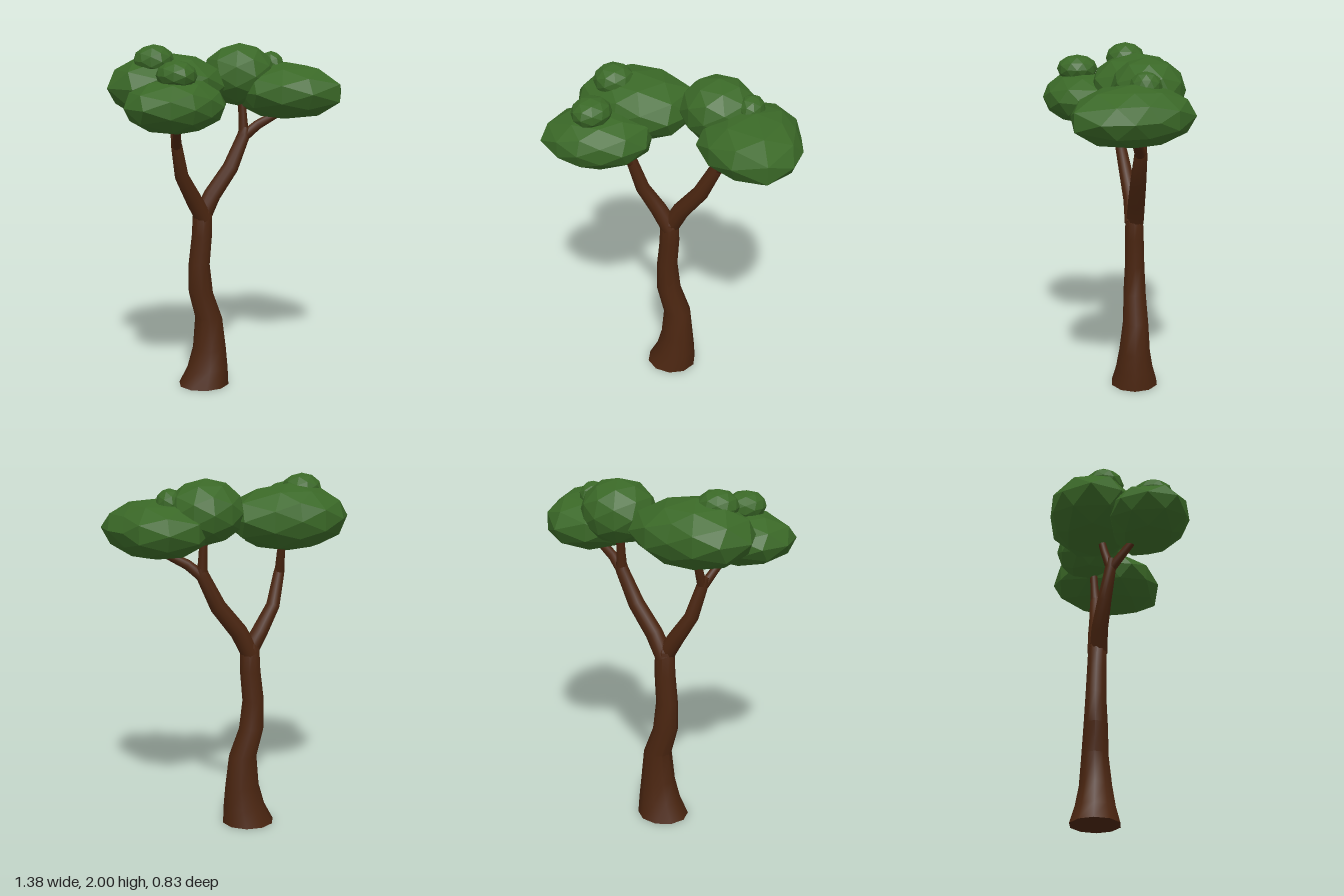
import * as THREE from 'three';
import { toCreasedNormals } from 'three/addons/utils/BufferGeometryUtils.js';

const SIDES = 10;

// Closed limb through [x, y, z, radius] points, each ring square to the path
function limb(points, upright = false) {
  const centres = points.map(p => new THREE.Vector3(p[0], p[1], p[2]));
  const up = new THREE.Vector3(0, 1, 0);
  const last = points.length - 1;
  const pos = [], index = [];
  points.forEach((p, i) => {
    const tangent = centres[Math.min(i + 1, last)].clone().sub(centres[Math.max(i - 1, 0)]).normalize();
    const turn = new THREE.Quaternion().setFromUnitVectors(up, upright ? up : tangent);
    for (let j = 0; j < SIDES; j++) {
      const a = (j / SIDES) * Math.PI * 2;
      const v = new THREE.Vector3(Math.cos(a) * p[3], 0, Math.sin(a) * p[3] * (upright ? 0.94 : 1));
      pos.push(...v.applyQuaternion(turn).add(centres[i]).toArray());
    }
  });
  const bottom = pos.length / 3, top = bottom + 1;
  pos.push(...centres[0].toArray(), ...centres[last].toArray());
  for (let j = 0; j < SIDES; j++) {
    const k = (j + 1) % SIDES;
    for (let i = 0; i < last; i++) {
      const a = i * SIDES + j, b = i * SIDES + k;
      index.push(a, a + SIDES, b, b, a + SIDES, b + SIDES);
    }
    index.push(bottom, j, k, top, last * SIDES + k, last * SIDES + j);
  }
  const geo = new THREE.BufferGeometry();
  geo.setAttribute('position', new THREE.Float32BufferAttribute(pos, 3));
  geo.setIndex(index);
  return toCreasedNormals(geo, 0.7);
}

// Faceted foliage: a low-poly ball stretched to a plan outline of [x, z] points
function foliage(centre, height, outline) {
  const [cx, cy, cz] = centre;
  const polar = outline
    .map(([x, z]) => ({ a: Math.atan2(z - cz, x - cx), r: Math.hypot(x - cx, z - cz) }))
    .sort((p, q) => p.a - q.a);
  const n = polar.length;
  const reach = angle => {
    let i = polar.findIndex(p => p.a > angle);
    if (i < 0) i = 0;
    const p = polar[(i + n - 1) % n], q = polar[i], full = Math.PI * 2;
    const span = (q.a - p.a + full) % full;
    const t = ((angle - p.a + full) % full) / span;
    return p.r + (q.r - p.r) * t;
  };
  const geo = new THREE.IcosahedronGeometry(1, 1);
  const pos = geo.attributes.position;
  for (let i = 0; i < pos.count; i++) {
    const x = pos.getX(i), y = pos.getY(i), z = pos.getZ(i);
    const r = reach(Math.atan2(z, x)) * 1.03;
    pos.setXYZ(i, cx + x * r, cy + y * height, cz + z * r);
  }
  geo.computeVertexNormals();
  return geo;
}

// Round plan outline for the smaller tufts
const oval = (x, z, rx, rz) => Array.from({ length: 12 }, (_, i) => {
  const a = (i / 12) * Math.PI * 2;
  return [x + Math.cos(a) * rx, z + Math.sin(a) * rz];
});

export function createModel() {
  const bark = new THREE.MeshStandardMaterial({ color: 0x4a2510 });
  bark.name = 'bark';
  const leaf = new THREE.MeshStandardMaterial({ color: 0x3a6827 });
  leaf.name = 'leaf';
  const tree = new THREE.Group();
  tree.name = 'tree';
  const add = (name, geo, mat) => {
    const mesh = new THREE.Mesh(geo, mat);
    mesh.name = name;
    tree.add(mesh);
  };

  // Trunk with flared foot
  add('trunk', limb([
    [-0.10, 0, -0.11, 0.15], [-0.075, 0.1, -0.11, 0.122], [-0.063, 0.22, -0.11, 0.1],
    [-0.065, 0.4, -0.115, 0.082], [-0.117, 0.56, -0.11, 0.073], [-0.127, 0.73, -0.11, 0.063],
    [-0.11, 0.9, -0.107, 0.06], [-0.107, 1.04, -0.105, 0.056], [-0.107, 1.09, -0.105, 0.03],
  ], true), bark);

  // Main branches and their forks
  add('rightBranch', limb([
    [-0.1, 1.0, -0.1, 0.052], [-0.17, 1.12, -0.09, 0.048], [-0.255, 1.26, -0.06, 0.04],
    [-0.3, 1.44, -0.025, 0.032], [-0.31, 1.49, -0.02, 0.024],
  ]), bark);
  add('rightFrontTwig', limb([
    [-0.3, 1.43, -0.025, 0.027], [-0.335, 1.53, 0.06, 0.023], [-0.37, 1.62, 0.14, 0.018],
  ]), bark);
  add('rightBackTwig', limb([
    [-0.302, 1.43, -0.025, 0.027], [-0.3, 1.54, -0.06, 0.023], [-0.3, 1.66, -0.09, 0.02],
  ]), bark);
  add('leftBranch', limb([
    [-0.11, 1.0, -0.11, 0.052], [-0.04, 1.13, -0.115, 0.05], [0.08, 1.28, -0.12, 0.046],
    [0.17, 1.46, -0.13, 0.037], [0.178, 1.51, -0.13, 0.028],
  ]), bark);
  add('leftUpperTwig', limb([
    [0.172, 1.45, -0.13, 0.032], [0.17, 1.57, -0.14, 0.025], [0.165, 1.7, -0.15, 0.023],
  ]), bark);
  add('leftOuterTwig', limb([
    [0.165, 1.45, -0.13, 0.032], [0.25, 1.52, -0.11, 0.028], [0.42, 1.61, -0.08, 0.022],
  ]), bark);

  // Large leaf crowns
  add('rightFrontCrown', foliage([-0.39, 1.685, 0.19], 0.15, [
    [-0.68, 0.15], [-0.65, 0.34], [-0.5, 0.41], [-0.32, 0.39], [-0.14, 0.26],
    [-0.10, 0.09], [-0.2, 0], [-0.4, -0.03], [-0.6, 0.02],
  ]), leaf);
  add('rightBackCrown', foliage([-0.32, 1.765, -0.12], 0.185, [
    [-0.66, -0.14], [-0.55, -0.3], [-0.33, -0.36], [-0.12, -0.35], [0, -0.28],
    [0.02, -0.15], [-0.01, -0.02], [-0.07, 0.07], [-0.2, 0.13], [-0.4, 0.1], [-0.59, 0.03],
  ]), leaf);
  add('leftUpperCrown', foliage([0.16, 1.81, -0.165], 0.18, oval(0.16, -0.165, 0.21, 0.2)), leaf);
  add('leftOuterCrown', foliage([0.41, 1.715, -0.08], 0.165, [
    [0.31, -0.41], [0.5, -0.36], [0.62, -0.17], [0.68, 0.03], [0.64, 0.22],
    [0.47, 0.24], [0.31, 0.21], [0.14, 0.07], [0.13, -0.1], [0.2, -0.32],
  ]), leaf);

  // Small tufts on top
  const tufts = [
    ['rightFrontTuft', -0.405, 1.85, 0.22, 0.105, 0.08, 0.115],
    ['rightBackTuft', -0.415, 1.91, -0.06, 0.11, 0.09, 0.11],
    ['leftTuft', 0.355, 1.86, -0.145, 0.07, 0.08, 0.085],
  ];
  for (const [name, x, y, z, rx, ry, rz] of tufts) {
    add(name, foliage([x, y, z], ry, oval(x, z, rx, rz)), leaf);
  }
  return tree;
}
